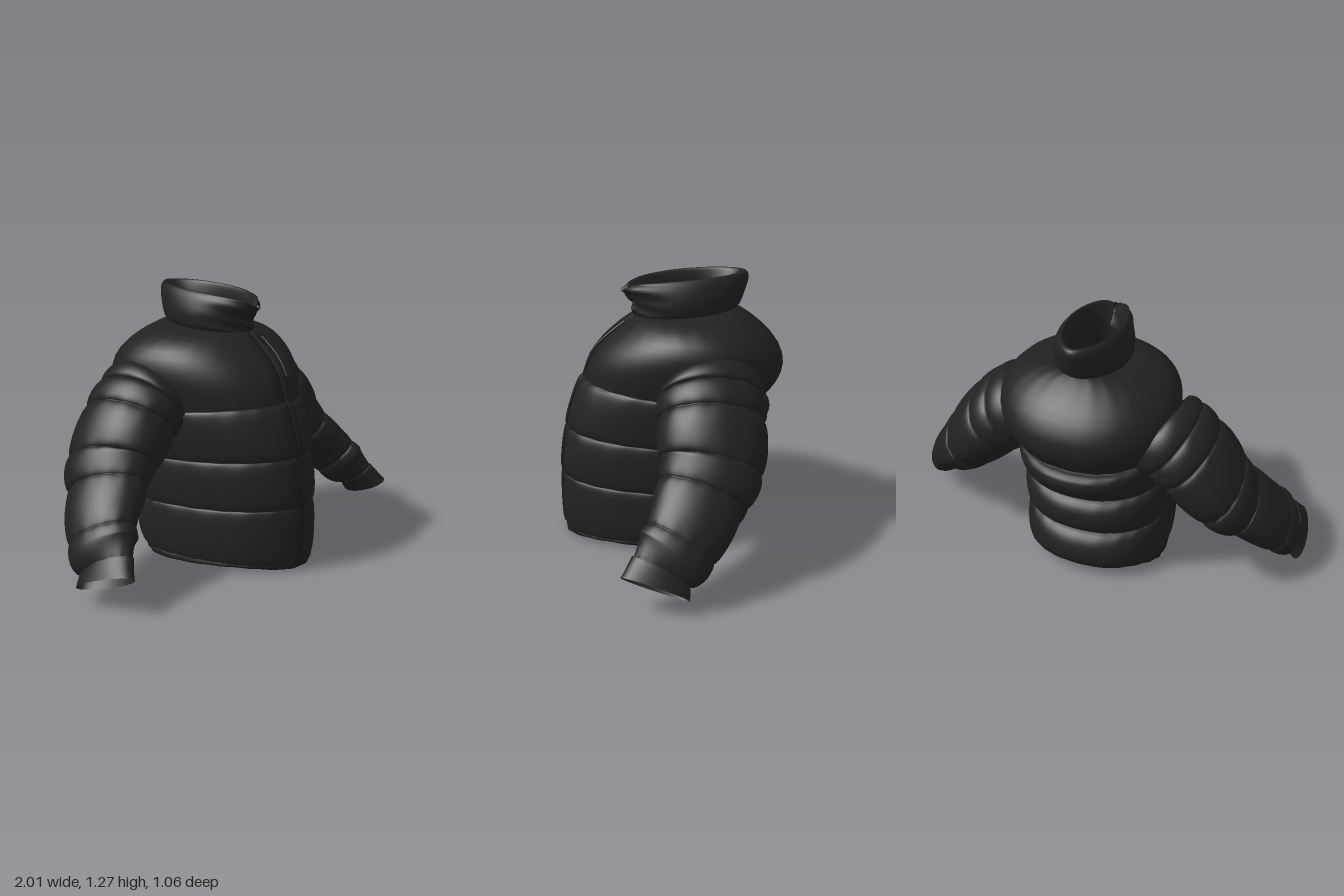
import * as THREE from 'three';

const { lerp } = THREE.MathUtils;
const fabric = new THREE.MeshStandardMaterial({ color: 0x212121, side: THREE.DoubleSide });
fabric.name = 'black fabric';
const trim = new THREE.MeshStandardMaterial({ color: 0x1b1b1b, side: THREE.DoubleSide });
trim.name = 'dark trim';

// Skin a grid of points fn(row, col); row runs over the given values, col over 0..1
function loft(name, material, rows, cols, fn, closed = true) {
  const pos = [], index = [];
  const n = closed ? cols : cols + 1;
  for (const r of rows) for (let j = 0; j < n; j++) pos.push(...fn(r, j / cols));
  for (let i = 0; i < rows.length - 1; i++) {
    for (let j = 0; j < cols; j++) {
      const k = (j + 1) % n;
      const a = i * n + j, b = i * n + k, c = a + n, d = b + n;
      index.push(a, c, b, b, c, d);
    }
  }
  const g = new THREE.BufferGeometry();
  g.setAttribute('position', new THREE.Float32BufferAttribute(pos, 3));
  g.setIndex(index);
  g.computeVertexNormals();
  const mesh = new THREE.Mesh(g, material);
  mesh.name = name;
  return mesh;
}

// Row values between seams, packed closer together near each seam
function panelRows(seams, count) {
  const rows = [seams[0]];
  for (let i = 0; i < seams.length - 1; i++) {
    for (let k = 1; k <= count; k++) {
      rows.push(lerp(seams[i], seams[i + 1], (1 - Math.cos(Math.PI * k / count)) / 2));
    }
  }
  return rows;
}

const puff = (u, p = 2.2) => Math.pow(Math.max(0, 1 - Math.pow(Math.abs(2 * u - 1), p)), 1 / p);

// Torso seams: front y, back y, half width, front z, back z
const SEAMS = [
  [0.03, 0.04, 0.335, 0.5, -0.31],
  [0.30, 0.25, 0.335, 0.505, -0.29],
  [0.53, 0.46, 0.34, 0.48, -0.30],
  [0.77, 0.665, 0.36, 0.405, -0.42],
  [1.07, 1.10, 0.155, 0.16, -0.30],
];
// How far each panel swells: sideways, forward, backward
const SWELL = [
  [0.018, 0.02, 0.09],
  [0.018, 0.025, 0.105],
  [0.015, 0.03, 0.102],
  [0.18, 0.06, 0.17],
];

// Swelling of a panel at height u: the yoke rises gently into the shoulders, the rest are round
function swelling(i, u) {
  if (i < 3) return SWELL[i].map((s) => s * puff(u));
  const arch = Math.max(0, Math.sin(Math.PI * u));
  return [SWELL[3][0] * puff(u * u, 2), SWELL[3][1] * arch, SWELL[3][2] * Math.pow(arch, 0.8)];
}

function torsoPoint(v, theta, inset = 0) {
  const i = Math.min(Math.floor(v), 3), u = v - i;
  const [yF, yB, w, zF, zB] = SEAMS[i].map((a, k) => lerp(a, SEAMS[i + 1][k], u));
  const [sw, sf, sb] = swelling(i, u);
  const p = puff(u);
  const gather = 0.003 * (1 - p) * Math.sin(theta * 23);
  const c = Math.cos(theta), s = Math.sin(theta);
  const zc = -0.08 - (i === 3 ? 0.09 * Math.sin(Math.PI * u) : 0); // shoulders sit further back
  const x = (w + sw + gather - inset) * Math.sign(c) * Math.pow(Math.abs(c), s < 0 ? 0.88 : 1);
  const depth = s > 0 ? zF + sf - zc : zc - (zB - sb);
  let z = zc + (depth + gather - inset) * s;
  if (s > 0) z -= 0.018 * p * Math.exp(-Math.pow((x + 0.01) / 0.035, 2)); // zip groove
  return [x + 0.02 * Math.max(0, v - 3), lerp(yB, yF, (1 + s) / 2), z];
}

// Collar section from outer base over the rim to the inside: front y, back y, half width, front z, back z
const COLLAR = [
  [1.04, 1.09, 0.15, 0.155, -0.30],
  [1.08, 1.11, 0.172, 0.16, -0.33],
  [1.13, 1.17, 0.173, 0.165, -0.355],
  [1.172, 1.235, 0.152, 0.205, -0.373],
  [1.188, 1.266, 0.128, 0.20, -0.357],
  [1.175, 1.25, 0.113, 0.17, -0.325],
  [1.12, 1.17, 0.108, 0.13, -0.275],
  [1.03, 1.07, 0.135, 0.13, -0.28],
];

function collarPoint(r, theta) {
  const i = Math.min(Math.floor(r), COLLAR.length - 2), u = r - i;
  const at = (k) => COLLAR[Math.min(Math.max(k, 0), COLLAR.length - 1)];
  const [yF, yB, w, zF, zB] = at(i).map((b, k) => { // smooth interpolation
    const a = at(i - 1)[k], c = at(i + 1)[k], d = at(i + 2)[k];
    return b + 0.5 * u * (c - a + u * (2 * a - 5 * b + 4 * c - d + u * (3 * (b - c) + d - a)));
  });
  const c = Math.cos(theta), s = Math.sin(theta), zc = -0.08;
  const fold = 0.006 * Math.max(0, s) * Math.sin(r * 6 + c * 5);
  const z = zc + (s > 0 ? zF - zc : zc - zB) * s + fold;
  const x = 0.018 + w * Math.sign(c) * Math.pow(Math.abs(c), 1.12);
  const rise = lerp(0.65, 0.3, Math.min(1, r / 4)); // the rim levels off behind the front opening
  return [x, lerp(yF, yB, Math.pow((1 - s) / 2, rise)), z];
}

// Sleeve centre line and its two radii (in the xy plane, across it)
const ARM = new THREE.CatmullRomCurve3([
  [0.28, 0.84, -0.13], [0.385, 0.765, -0.14], [0.475, 0.69, -0.125], [0.617, 0.526, -0.105],
  [0.70, 0.435, -0.045], [0.795, 0.335, 0.015], [0.87, 0.235, 0.1], [0.908, 0.18, 0.16], [0.948, 0.118, 0.19],
].map((p) => new THREE.Vector3(...p)));
const ARM_RADII = new THREE.CatmullRomCurve3([
  [0.18, 0.21], [0.192, 0.24], [0.185, 0.245], [0.16, 0.235],
  [0.128, 0.203], [0.111, 0.183], [0.10, 0.172], [0.062, 0.138], [0.056, 0.155],
].map(([a, b]) => new THREE.Vector3(a, b, 0)));
const ARM_SEAMS = [0.4, 1.1, 2, 3, 4, 5.6, 7];

function sleevePoint(k, col, side) {
  const center = ARM.getPoint(k / 8), r = ARM_RADII.getPoint(k / 8);
  const T = ARM.getTangent(k / 8);
  const N = new THREE.Vector3(-T.y, T.x, 0).normalize();
  const B = new THREE.Vector3().crossVectors(T, N);
  const theta = -side * col * Math.PI * 2;
  let f = 1;
  if (k < 7) {
    const i = ARM_SEAMS.findIndex((s, n) => k >= s && k < ARM_SEAMS[n + 1]);
    const p = puff((k - ARM_SEAMS[i]) / (ARM_SEAMS[i + 1] - ARM_SEAMS[i]));
    f = 1.02 - (1 - p) * (0.11 + 0.015 * Math.sin(theta * 13));
  }
  center.addScaledVector(N, r.x * f * Math.cos(theta)).addScaledVector(B, r.y * f * Math.sin(theta));
  return [side * center.x, center.y, center.z];
}

export function createModel() {
  const jacket = new THREE.Group();
  jacket.name = 'pufferJacket';
  const TAU = Math.PI * 2;
  const torsoRows = panelRows([0, 1, 2, 3, 4], 16);

  // Quilted torso
  jacket.add(loft('torso', fabric, torsoRows, 120, (v, c) => torsoPoint(v, c * TAU)));

  // Hem band, slightly wavy along the bottom edge: height and inset of its section
  const hem = [[0.03, 0.022], [0, 0.018], [-0.006, 0.006], [0, -0.004], [0.02, -0.006], [0.035, 0.004]];
  jacket.add(loft('hem', trim, [0, 1, 2, 3, 4, 5], 96, (r, c) => {
    const theta = c * TAU;
    const [x, y, z] = torsoPoint(0, theta, hem[r][1]);
    const bottom = 0.015 - 0.008 * Math.cos(theta * 4) + 0.006 * (1 - Math.sin(theta)) / 2;
    return [x, r === 5 ? y + 0.008 : bottom + hem[r][0], z];
  }));

  // Stand-up collar
  const collarRows = Array.from({ length: 36 }, (_, i) => i / 5);
  jacket.add(loft('collar', fabric, collarRows, 72, (r, c) => collarPoint(r, c * TAU)));

  // Zip placket with two raised edges, running up the torso and the collar
  const ridge = (c) => 0.006 + 0.008 * Math.abs(Math.sin((c - 0.5) * TAU));
  jacket.add(loft('zipPlacket', trim, torsoRows, 12, (v, c) => {
    const width = 0.17 * (1 + Math.max(0, v - 3) * 0.5);
    const p = torsoPoint(v, Math.PI / 2 + 0.07 * (1 - v / 4) + (0.5 - c) * -width);
    p[2] += ridge(c);
    p[1] += 0.004;
    return p;
  }, false));
  jacket.add(loft('collarZip', trim, collarRows.slice(3, 21), 12, (r, c) => {
    const p = collarPoint(r, Math.PI / 2 + (c - 0.5) * 0.3);
    p[2] += ridge(c);
    return p;
  }, false));

  // Zip pull hanging from the neck
  const pullPath = [0.38, 0.55, 0.72, 0.9].map((u) => {
    const [x, y, z] = torsoPoint(3 + u, Math.PI / 2 - 0.04 - 0.08 * u);
    return new THREE.Vector3(x, y + 0.008, z + 0.014);
  });
  const pull = new THREE.Mesh(
    new THREE.TubeGeometry(new THREE.CatmullRomCurve3(pullPath), 16, 0.007, 8), trim);
  pull.name = 'zipPull';
  jacket.add(pull);

  // Quilted sleeves with knitted cuffs
  for (const side of [1, -1]) {
    const name = side > 0 ? 'left' : 'right';
    jacket.add(loft(name + 'Sleeve', fabric, panelRows(ARM_SEAMS, 14), 72,
      (k, c) => sleevePoint(k, c, side)));
    jacket.add(loft(name + 'Cuff', fabric, [7, 7.25, 7.5, 7.75, 8], 48,
      (k, c) => sleevePoint(k, c, side)));
  }
  return jacket;
}
